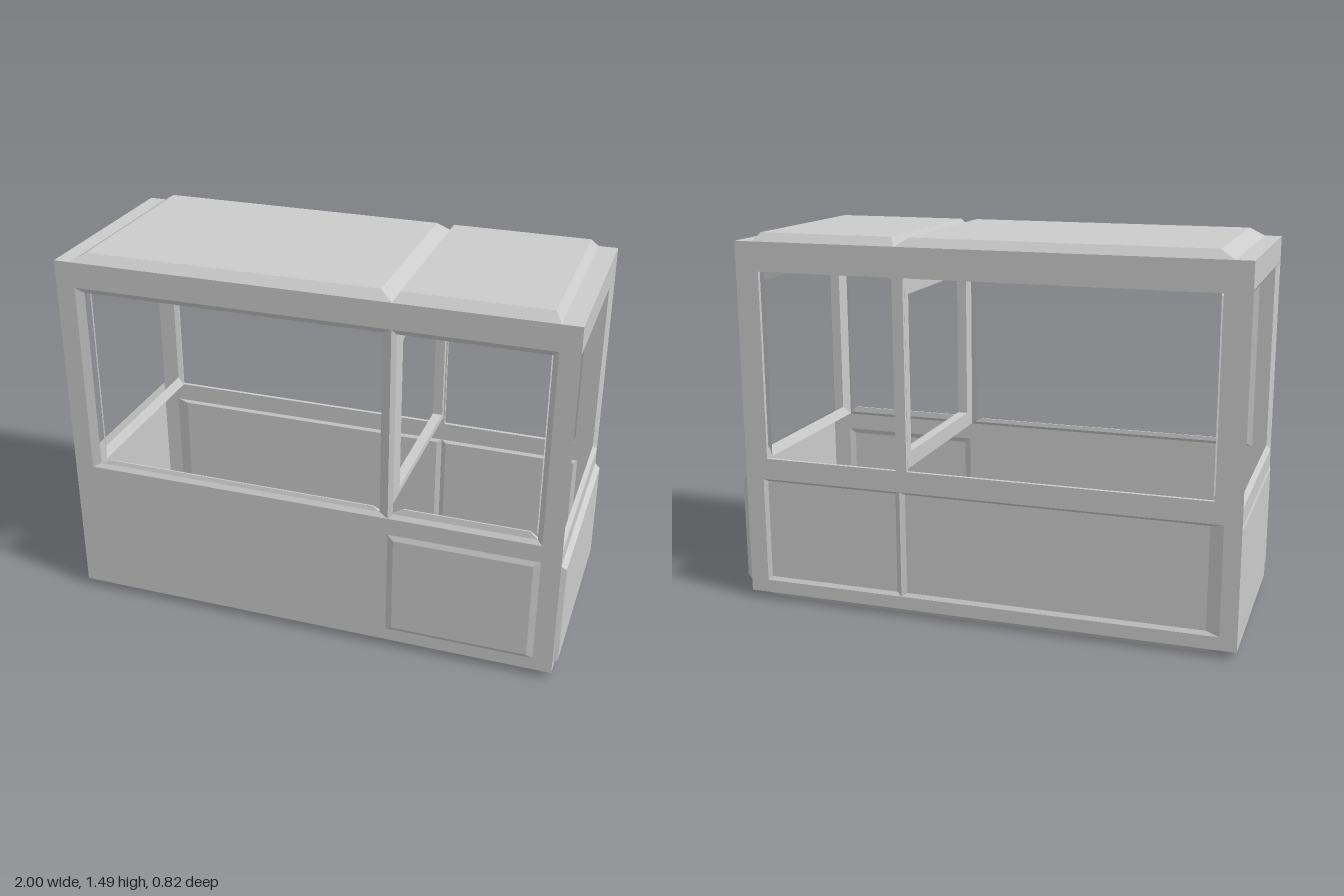
import * as THREE from 'three';

const material = new THREE.MeshStandardMaterial({ color: 0xcccccc, flatShading: true, side: THREE.DoubleSide });

// Rectangles are [u0, v0, u1, v1] in a wall's own plane, with local +z pointing outward.
const corners = ([a, b, c, d]) => [[a, b], [c, b], [c, d], [a, d]];
const mirror = ([a, b, c, d]) => [-c, b, -a, d];

function add(group, name, geometry, z = 0) {
  const mesh = new THREE.Mesh(geometry, material);
  mesh.name = name;
  mesh.position.z = z;
  group.add(mesh);
}

// Flat sheet with optional rectangular openings
function sheet(rect, holes = []) {
  const points = r => corners(r).map(p => new THREE.Vector2(...p));
  const shape = new THREE.Shape(points(rect));
  holes.forEach(h => shape.holes.push(new THREE.Path(points(h).reverse())));
  return new THREE.ShapeGeometry(shape);
}

// Four mitred slopes from one rectangle to another at another depth, optionally capped
function bevel(from, to, depth, cap = false) {
  const a = corners(from).map(p => [...p, 0]);
  const b = corners(to).map(p => [...p, depth]);
  const pos = [];
  const quad = (p, q, r, s) => pos.push(...p, ...q, ...r, ...p, ...r, ...s);
  for (let i = 0; i < 4; i++) {
    const j = (i + 1) % 4;
    quad(a[i], a[j], b[j], b[i]);
  }
  if (cap) quad(...b);
  const g = new THREE.BufferGeometry();
  g.setAttribute('position', new THREE.Float32BufferAttribute(pos, 3));
  g.computeVertexNormals();
  return g;
}

function side(root, name, position, rotation) {
  const group = new THREE.Group();
  group.name = name;
  group.position.set(...position);
  group.rotation.set(...rotation);
  root.add(group);
  return group;
}

export function createModel() {
  const root = new THREE.Group();
  root.name = 'booth';
  const Z = 0.404, ZB = 0.408, X0 = -0.996, X1 = 0.98, Y0 = 0.028, Y1 = 1.455;
  const wall = [X0, Y0, X1, Y1];

  // Front wall: two shallow bevelled windows meeting in a ridged post, one raised panel
  const front = side(root, 'frontWall', [0, 0, Z], [0, 0, 0]);
  const raised = [0.32, 0.08, 0.905, 0.515];
  add(front, 'frontSheet', sheet(wall, [[-0.92, 0.585, 0.905, 1.355], raised]));
  add(front, 'frontLargeWindow', bevel([-0.92, 0.585, 0.32, 1.355], [-0.886, 0.602, 0.285, 1.335], -0.012));
  add(front, 'frontSmallWindow', bevel([0.32, 0.585, 0.905, 1.355], [0.337, 0.602, 0.885, 1.335], -0.012));
  add(front, 'frontRaisedPanel', bevel(raised, [0.345, 0.095, 0.88, 0.495], 0.008, true));

  // Low sloped sills in the front windows
  for (const [a, b, h] of [[-0.886, 0.285, 0.016], [0.337, 0.885, 0.024]]) {
    const sill = side(root, 'frontSill', [0, 0.602, 0], [-Math.PI / 2, 0, 0]);
    add(sill, 'sill', bevel([a, -0.392, b, -0.378], [a + 0.04, -0.386, b - 0.03, -0.38], h, true));
  }

  // Back wall: two straight openings and two recessed lower panels
  const back = side(root, 'backWall', [0, 0, -ZB], [0, Math.PI, 0]);
  const windows = [[-0.895, 0.595, 0.288, 1.34], [0.332, 0.595, 0.885, 1.34]].map(mirror);
  add(back, 'backSheet', sheet(mirror(wall), [...windows, mirror([-0.93, 0.08, 0.905, 0.51])]));
  windows.forEach(w => add(back, 'backWindowReveal', bevel(w, w, -0.015)));
  [[[-0.93, 0.08, 0.32, 0.51], [-0.88, 0.095, 0.3, 0.5]],
    [[0.32, 0.08, 0.905, 0.51], [0.34, 0.095, 0.89, 0.5]]].forEach(([a, b]) =>
    add(back, 'backRecessedPanel', bevel(mirror(a), mirror(b), -0.01, true)));

  // End walls: open across the full width, with a raised panel below
  for (const [name, x, turn, bump] of [['leftWall', X1, 1, 0.02], ['rightWall', X0, -1, 0.004]]) {
    const end = side(root, name, [x, 0, 0], [0, turn * Math.PI / 2, 0]);
    const across = (y0, y1, inset = 0) => {
      const rect = [-Z + inset, y0, ZB - inset, y1];
      return turn > 0 ? rect : mirror(rect);
    };
    add(end, name + 'Lower', sheet(across(Y0, 0.582)));
    add(end, name + 'Header', sheet(across(1.355, Y1)));
    add(end, name + 'Window', bevel(across(0.582, 1.355), across(0.604, 1.332, 0.026), -0.015));
    add(end, name + 'Panel', bevel(across(0.075, 0.512), across(0.092, 0.497, 0.008), bump, true));
  }

  // Roof: flat sheet with two bevelled raised panels
  const roof = side(root, 'roof', [0, Y1, 0], [-Math.PI / 2, 0, 0]);
  add(roof, 'roofSheet', sheet([X0, -Z, X1, ZB]));
  add(roof, 'largeRoofPanel', bevel([-0.93, -Z, 0.32, ZB], [-0.875, -0.37, 0.27, 0.38], 0.033, true));
  add(roof, 'smallRoofPanel', bevel([0.32, -Z, 0.905, ZB], [0.34, -0.37, 0.88, 0.38], 0.033, true));

  // Floor: flat sheet with a shallow bevelled base
  const floor = side(root, 'floor', [0, Y0, 0], [Math.PI / 2, 0, 0]);
  add(floor, 'floorSheet', sheet([X0, -ZB, X1, Z]));
  add(floor, 'basePanel', bevel([-0.92, -ZB, 0.905, Z], [-0.855, -0.375, 0.85, 0.37], Y0, true));

  // Inner window frame dividing the cabin
  const divider = side(root, 'dividerFrame', [0.292, 0, 0], [0, Math.PI / 2, 0]);
  const outer = [-0.355, 0.6, 0.382, 1.332];
  const face = [-0.315, 0.638, 0.37, 1.3];
  const hole = [-0.29, 0.662, 0.345, 1.273];
  add(divider, 'dividerBack', sheet(outer, [hole]));
  add(divider, 'dividerEdge', bevel(outer, outer, 0.022));
  add(divider, 'dividerSlopes', bevel(outer, face, 0.018), 0.022);
  add(divider, 'dividerFace', sheet(face, [hole]), 0.04);
  add(divider, 'dividerReveal', bevel(hole, hole, 0.04));

  // Slim sloped window surrounds just inside both ends
  for (const [x, turn] of [[-0.885, -1], [0.875, 1]]) {
    const surround = side(root, 'endSurround', [x, 0, 0], [0, turn * Math.PI / 2, 0]);
    const [from, to] = turn > 0 ? [outer, face] : [mirror(outer), mirror(face)];
    add(surround, 'endSurroundSlopes', bevel(from, to, 0.018));
  }

  return root;
}
